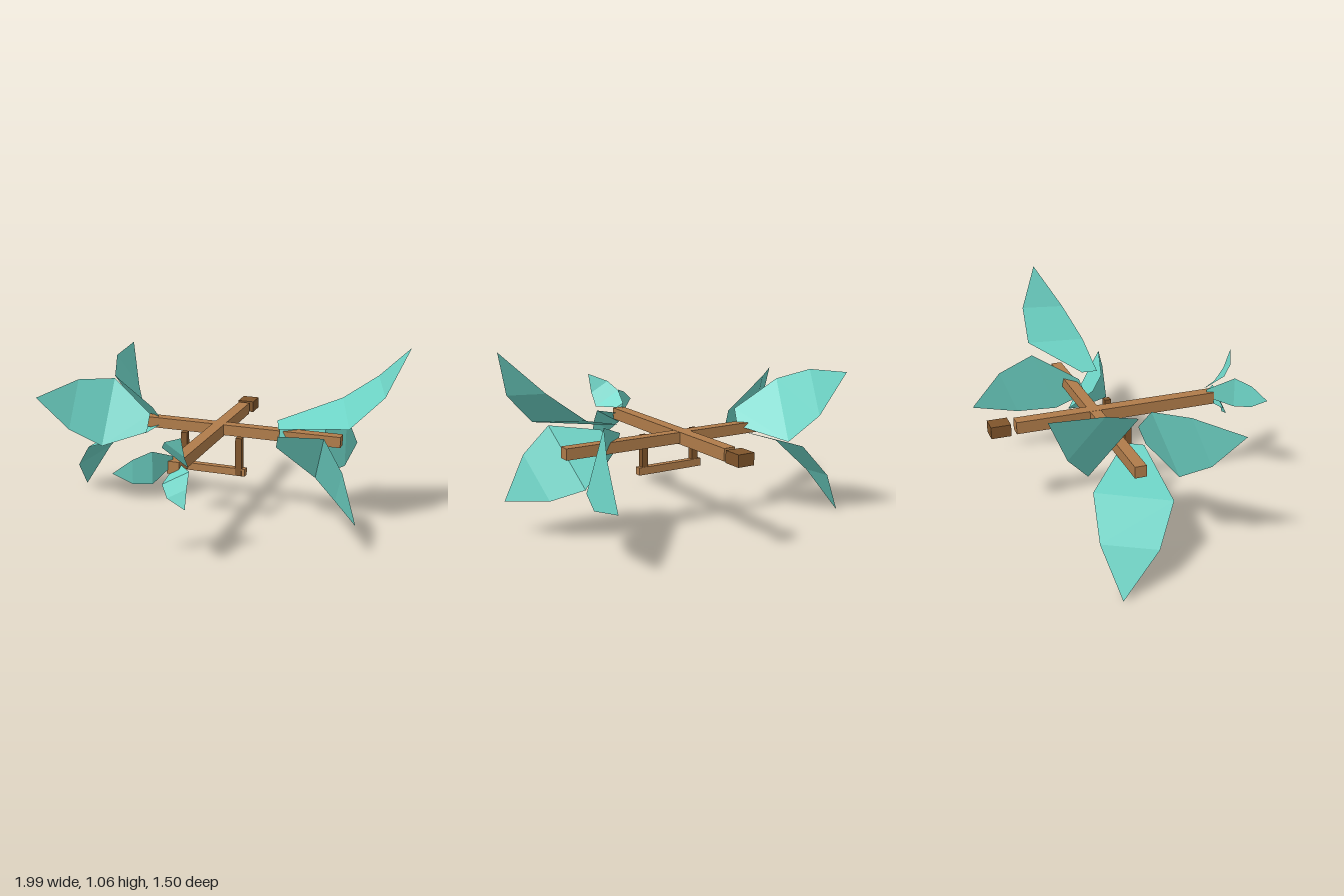
import * as THREE from 'three';

const lightWood = new THREE.MeshStandardMaterial({ name: 'lightWood', color: 0xb07c4a });
const darkWood = new THREE.MeshStandardMaterial({ name: 'darkWood', color: 0x80552b });
const teal = new THREE.MeshStandardMaterial({
  name: 'teal', color: 0x6fd6c8, flatShading: true, side: THREE.DoubleSide,
});

// Half-widths of a blade at root, belly, shoulder and tip
const HALF_WIDTHS = [0.053, 0.196, 0.143, 0];

function box(name, material, size, position) {
  const mesh = new THREE.Mesh(new THREE.BoxGeometry(...size), material);
  mesh.name = name;
  mesh.position.set(...position);
  return mesh;
}

// A curled leaf-shaped blade: a strip swept along a four-point spine
function blade(spine, side, scale) {
  const across = new THREE.Vector3(...side).normalize();
  const rows = spine.map((p, i) => [-1, 1].map((s) =>
    new THREE.Vector3(...p).addScaledVector(across, s * scale * HALF_WIDTHS[i])));
  const corners = [];
  for (let i = 0; i < rows.length - 1; i++) {
    const [a, b] = rows[i];
    const [c, d] = rows[i + 1];
    corners.push(a, b, c);
    if (i < rows.length - 2) corners.push(b, d, c);
  }
  const geometry = new THREE.BufferGeometry().setFromPoints(corners);
  geometry.computeVertexNormals();
  const mesh = new THREE.Mesh(geometry, teal);
  mesh.name = 'blade';
  return mesh;
}

function propeller(name, scale, blades) {
  const group = new THREE.Group();
  group.name = name;
  for (const { spine, side } of blades) group.add(blade(spine, side, scale));
  return group;
}

export function createModel() {
  const model = new THREE.Group();
  model.name = 'propellerFrame';

  // Crossed beams and rear block
  model.add(box('longBeam', lightWood, [0.066, 0.066, 1.126], [-0.047, 0.523, -0.047]));
  model.add(box('crossBeam', lightWood, [1.395, 0.06, 0.06], [-0.047, 0.525, -0.178]));
  model.add(box('rearBlock', darkWood, [0.094, 0.064, 0.106], [-0.047, 0.524, -0.695]));

  // Landing skid with two posts
  model.add(box('skid', lightWood, [0.395, 0.042, 0.036], [-0.047, 0.329, -0.049]));
  for (const s of [-1, 1]) {
    model.add(box('skidPost', darkWood, [0.036, 0.215, 0.036], [-0.047 + s * 0.16, 0.418, -0.047]));
  }

  // Propeller on the model's left
  model.add(propeller('leftPropeller', 1, [
    { spine: [[0.32, 0.612, -0.078], [0.67, 0.688, -0.17], [0.85, 0.845, -0.195], [0.99, 1.06, -0.205]],
      side: [-0.3, 0.16, -0.94] },
    { spine: [[0.33, 0.53, -0.03], [0.565, 0.46, -0.037], [0.695, 0.348, 0.058], [0.82, 0.205, 0.195]],
      side: [0.24, 0.78, 0.575] },
    { spine: [[0.315, 0.53, -0.126], [0.535, 0.493, -0.288], [0.61, 0.425, -0.486], [0.635, 0.35, -0.70]],
      side: [0.07, -0.93, 0.36] },
  ]));

  // Propeller on the model's right
  model.add(propeller('rightPropeller', 1, [
    { spine: [[-0.43, 0.55, -0.05], [-0.662, 0.60, -0.018], [-0.815, 0.663, 0.102], [-0.957, 0.731, 0.265]],
      side: [0.065, 0.93, -0.365] },
    { spine: [[-0.42, 0.58, -0.15], [-0.642, 0.62, -0.28], [-0.73, 0.736, -0.441], [-0.778, 0.87, -0.633]],
      side: [-0.22, 0.79, 0.58] },
    { spine: [[-0.42, 0.505, -0.09], [-0.75, 0.40, -0.215], [-0.90, 0.225, -0.29], [-1, 0.003, -0.36]],
      side: [-0.28, -0.15, 0.95] },
  ]));

  // Small propeller at the nose
  model.add(propeller('nosePropeller', 0.43, [
    { spine: [[-0.06, 0.55, 0.48], [-0.11, 0.553, 0.625], [-0.185, 0.546, 0.694], [-0.267, 0.547, 0.748]],
      side: [0, 1, 0] },
    { spine: [[-0.04, 0.575, 0.48], [-0.008, 0.603, 0.58], [0.012, 0.665, 0.635], [0.064, 0.742, 0.678]],
      side: [0.86, -0.5, 0.08] },
    { spine: [[-0.04, 0.52, 0.48], [-0.01, 0.495, 0.575], [0.012, 0.43, 0.615], [0.064, 0.36, 0.64]],
      side: [0.86, 0.5, 0] },
  ]));

  return model;
}
